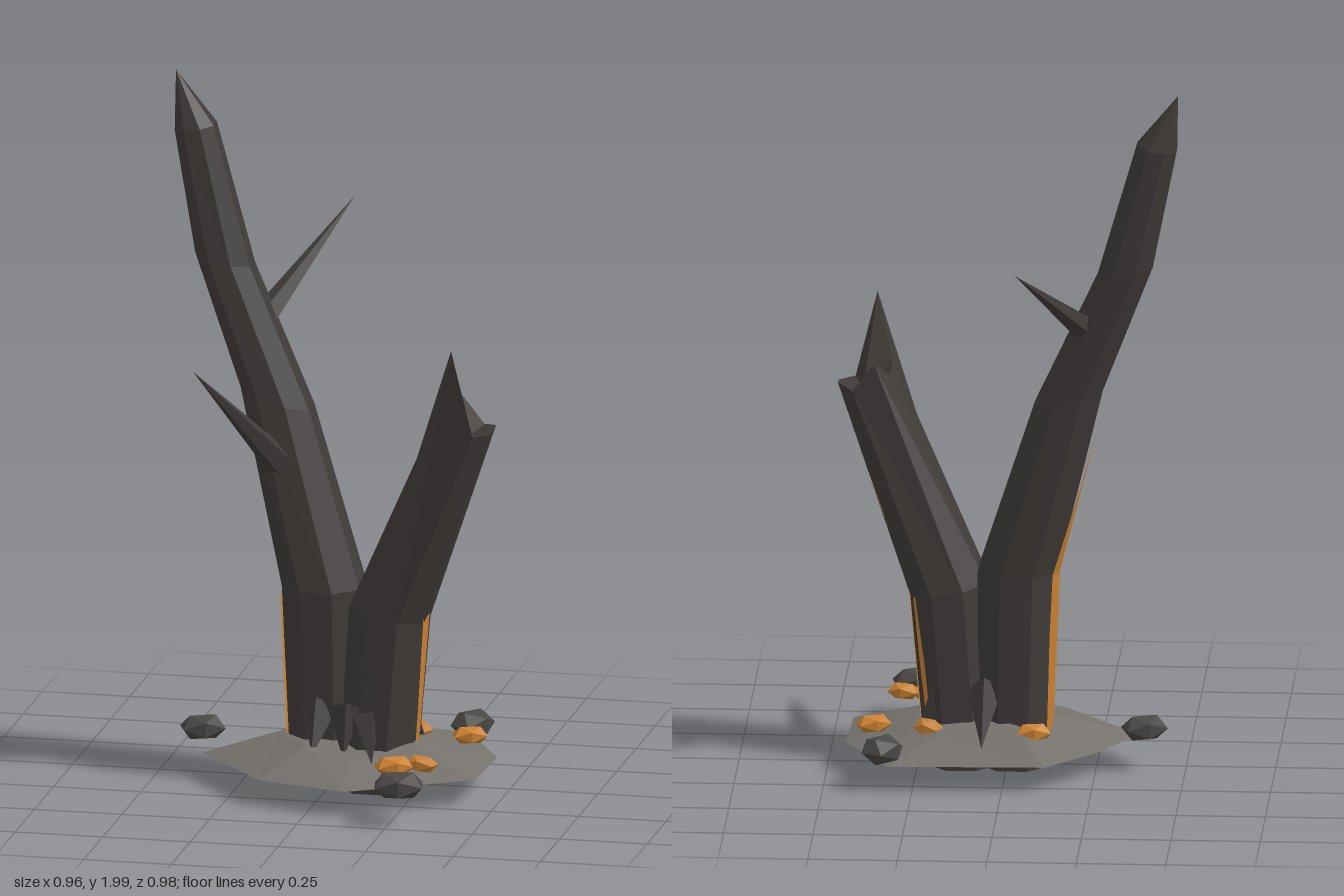
import * as THREE from 'three';

const V = (x, y, z) => new THREE.Vector3(x, y, z);
const mat = (color) => new THREE.MeshStandardMaterial({ color, flatShading: true, side: THREE.DoubleSide });
const BARK = mat(0x3f3b39), GROUND = mat(0x75716d), STONE = mat(0x4a4846), AMBER = mat(0xcb8232);
const SIDES = 8, STEP = (Math.PI * 2) / SIDES;

// Skin a stack of point rows; closed rows wrap around
function loft(rows, closed = true) {
  const pos = [];
  const tri = (...pts) => pts.forEach((p) => pos.push(p.x, p.y, p.z));
  for (let i = 0; i < rows.length - 1; i++) {
    const lo = rows[i], hi = rows[i + 1], n = lo.length;
    for (let k = 0; k < (closed ? n : n - 1); k++) {
      const j = (k + 1) % n;
      tri(lo[k], hi[k], hi[j]);
      tri(lo[k], hi[j], lo[j]);
    }
  }
  const g = new THREE.BufferGeometry();
  g.setAttribute('position', new THREE.Float32BufferAttribute(pos, 3));
  g.computeVertexNormals();
  return g;
}

// One ring of a trunk; section = [x, y, z, rx, rz, tilt]
function ring([x, y, z, rx, rz, tilt = 0], jag = []) {
  return Array.from({ length: SIDES }, (_, k) => {
    const a = (k + 0.5) * STEP;
    return V(x + rx * Math.cos(a), y - tilt * Math.cos(a) + (jag[k] || 0), z + rz * Math.sin(a));
  });
}
const point = (p) => Array(SIDES).fill(p);

// Point on the faceted trunk surface at a height and angle, pushed out a little
function onTrunk(sections, y, deg, out) {
  let i = 0;
  while (i < sections.length - 2 && sections[i + 1][1] < y) i++;
  const t = (y - sections[i][1]) / (sections[i + 1][1] - sections[i][1]);
  const s = sections[i].map((v, n) => THREE.MathUtils.lerp(v, sections[i + 1][n], t));
  const pts = ring([s[0], y, s[2], s[3] + out, s[4] + out]);
  const u = ((deg / 360) * SIDES - 0.5 + SIDES) % SIDES, k = Math.floor(u);
  return pts[k].clone().lerp(pts[(k + 1) % SIDES], u - k);
}

export function createModel() {
  const model = new THREE.Group();
  const add = (name, geometry, material) => {
    const mesh = new THREE.Mesh(geometry, material);
    mesh.name = name;
    model.add(mesh);
    return mesh;
  };

  // Tall leaning trunk ending in a point
  const tall = [
    [-0.02, 0.02, 0, 0.105, 0.11, 0],
    [-0.03, 0.58, 0.005, 0.12, 0.125, 0],
    [-0.175, 1.1, -0.05, 0.105, 0.1, 0.03],
    [-0.335, 1.48, -0.095, 0.085, 0.085, 0.02],
    [-0.425, 1.845, -0.125, 0.06, 0.06, -0.01],
  ];
  add('tallTrunk', loft([...tall.map((s) => ring(s)), point(V(-0.485, 2, -0.14))]), BARK);

  // Short trunk, snapped off with a splintered rim
  const short = [
    [0.125, 0.015, 0.03, 0.11, 0.125, 0],
    [0.165, 0.52, 0.04, 0.115, 0.12, 0.02],
    [0.405, 1.11, 0.12, 0.08, 0.085, 0.035],
  ];
  const rim = ring(short[2], [0, -0.02, 0.2, 0, -0.03, 0.03, -0.02, 0.01]);
  add('shortTrunk', loft([ring(short[0]), ring(short[1]), rim, point(V(0.41, 1.06, 0.12))]), BARK);

  // Tapered spikes: side branches and roots
  const spike = (name, from, to, r, sides = 5) => {
    const dir = to.clone().sub(from);
    const mesh = add(name, new THREE.ConeGeometry(r, dir.length(), sides), BARK);
    mesh.position.copy(from).addScaledVector(dir, 0.5);
    mesh.quaternion.setFromUnitVectors(V(0, 1, 0), dir.normalize());
  };
  spike('backBranch', V(-0.23, 1.3, -0.09), V(-0.05, 1.57, -0.49), 0.04);
  spike('frontBranch', V(-0.14, 0.92, 0.035), V(-0.34, 1.25, 0.3), 0.045);
  const roots = [
    [-0.02, 0.08, -0.03, 0.18], [0.11, 0.11, 0.15, 0.21], [0.06, -0.06, 0.06, -0.225],
    [0.17, -0.03, 0.25, -0.06], [0.05, 0.1, 0.06, 0.17],
  ];
  for (const [x, z, tx, tz] of roots) spike('root', V(x, 0.25, z), V(tx, 0.12, tz), 0.05, 4);

  // Low mound of earth, open underneath
  const edge = [
    [0.45, -0.06], [0.44, 0.19], [0.115, 0.395], [-0.15, 0.32],
    [-0.365, 0.06], [-0.25, -0.14], [-0.12, -0.29], [0.32, -0.305],
  ];
  const hump = (s, y) => edge.map(([x, z], i) =>
    V(0.05 + (x - 0.05) * s, y + (s < 1 ? 0.012 * Math.sin(i * 2.3) : 0), z * s));
  add('groundMound', loft([hump(1, 0.087), hump(0.5, 0.145), point(V(0.05, 0.17, 0))]), GROUND);

  // Amber sap strips hugging the bark; rows = [height, start angle, end angle]
  const strip = (sections, rows) => {
    const pts = rows.map(([y, a, b]) => [a, (a + b) / 2, b].map((d) => onTrunk(sections, y, d, 0.007)));
    add('sapStrip', loft(pts, false), AMBER);
  };
  strip(short, [[0.02, -4, 14], [0.25, -4, 20], [0.52, -2, 26], [0.68, -26, 2], [0.84, -22, -6]]);
  strip(short, [[0.03, -46, -40], [0.3, -44, -34], [0.5, -36, -32]]);
  strip(tall, [[0.03, 160, 175], [0.3, 158, 174], [0.55, 162, 170]]);
  strip(tall, [[0.03, 195, 212], [0.4, 190, 215], [0.58, 192, 214], [0.85, 188, 205], [1.04, 190, 196]]);

  // Loose stones and amber chunks; each = [x, y, z, sx, sy, sz, turn]
  const chunks = (name, list, geometry, material) => {
    for (const [x, y, z, sx, sy, sz, turn] of list) {
      const mesh = add(name, geometry, material);
      mesh.position.set(x, y, z);
      mesh.scale.set(sx, sy, sz);
      mesh.rotation.y = turn;
    }
  };
  chunks('stone', [
    [-0.385, 0.135, -0.035, 0.07, 0.04, 0.055, 0.4],
    [0.335, 0.125, -0.265, 0.07, 0.043, 0.06, 1.1],
    [0.275, 0.125, 0.43, 0.078, 0.043, 0.07, 0.2],
  ], new THREE.IcosahedronGeometry(1, 0), STONE);
  chunks('amberChunk', [
    [-0.08, 0.145, -0.14, 0.055, 0.03, 0.035, 0.2],
    [0.215, 0.145, -0.105, 0.045, 0.03, 0.036, -0.5],
    [0.37, 0.145, -0.07, 0.055, 0.028, 0.04, 0.4],
    [0.23, 0.14, 0.285, 0.06, 0.032, 0.045, 0.5],
    [0.305, 0.145, 0.262, 0.05, 0.026, 0.036, -0.3],
  ], new THREE.IcosahedronGeometry(1, 0), AMBER);

  return model;
}
